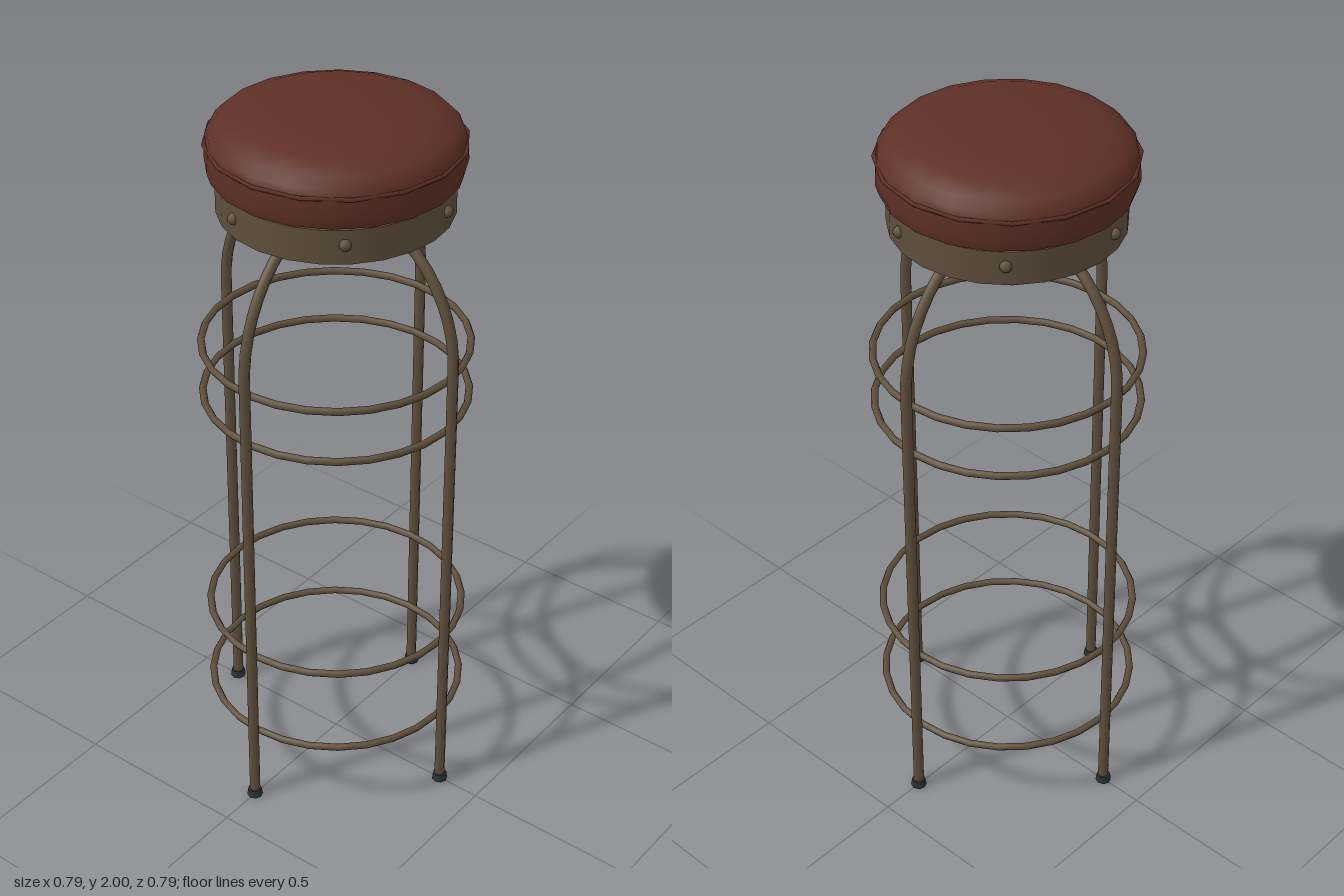
import * as THREE from 'three';

export function createModel() {
  const root = new THREE.Group();
  root.name = 'barStool';

  const mat = (name, color, side = THREE.FrontSide) => {
    const m = new THREE.MeshStandardMaterial({ color, side });
    m.name = name;
    return m;
  };
  const leather = mat('brownLeather', 0x5e3026, THREE.DoubleSide);
  const bronze = mat('agedBronze', 0x5f4f3b, THREE.DoubleSide);
  const steel = mat('blueSteel', 0x3c464e, THREE.DoubleSide);
  const rubber = mat('darkRubber', 0x2b3236);

  const add = (name, geometry, material, parent = root) => {
    const mesh = new THREE.Mesh(geometry, material);
    mesh.name = name;
    parent.add(mesh);
    return mesh;
  };
  const lathe = (points, sides) =>
    new THREE.LatheGeometry(points.map(([r, y]) => new THREE.Vector2(r, y)), sides);

  // Cushion: straight side, thin piping at the seam, domed top
  const cushion = new THREE.Group();
  cushion.name = 'cushion';
  root.add(cushion);
  add('cushionSide', lathe([[0, 1.83], [0.322, 1.83], [0.322, 1.83], [0.331, 1.86], [0.328, 1.91]], 20), leather, cushion);
  add('cushionTop', lathe([
    [0.328, 1.91], [0.322, 1.935], [0.3, 1.958], [0.25, 1.978], [0.18, 1.99], [0.09, 1.998], [0, 2],
  ], 20), leather, cushion);
  const piping = add('piping', new THREE.TorusGeometry(0.329, 0.006, 5, 16), leather, cushion);
  piping.rotation.x = Math.PI / 2;
  piping.position.y = 1.912;

  // Metal band below the cushion, with a darker lining
  add('seatBand', lathe([[0.298, 1.725], [0.305, 1.725], [0.305, 1.725], [0.305, 1.818], [0.305, 1.818], [0.298, 1.818]], 24), bronze);
  add('bandLining', lathe([[0.298, 1.818], [0.298, 1.725]], 24), steel);

  // Rivets around the band
  for (let i = 0; i < 6; i++) {
    const a = THREE.MathUtils.degToRad(12 + 60 * i);
    const rivet = add('rivet', new THREE.SphereGeometry(0.016, 8, 6), bronze);
    rivet.position.set(Math.sin(a) * 0.304, 1.778, Math.cos(a) * 0.304);
  }

  // Swivel plate and open collar under the seat
  const plate = add('mountPlate', new THREE.BoxGeometry(0.24, 0.02, 0.24), steel);
  plate.position.y = 1.795;
  add('collar', lathe([[0.034, 1.785], [0.034, 1.61], [0.034, 1.61], [0.046, 1.61], [0.046, 1.61], [0.046, 1.785]], 12), bronze);

  // Four bent tube legs with rubber feet
  const path = new THREE.CurvePath();
  const v = (x, y) => new THREE.Vector3(x, y, 0);
  path.add(new THREE.LineCurve3(v(0.374, 0.015), v(0.374, 1.38)));
  path.add(new THREE.CubicBezierCurve3(v(0.374, 1.38), v(0.374, 1.58), v(0.24, 1.73), v(0.09, 1.745)));
  path.add(new THREE.LineCurve3(v(0.09, 1.745), v(0.03, 1.745)));
  const legGeometry = new THREE.TubeGeometry(path, 40, 0.0145, 8);
  const footGeometry = new THREE.CylinderGeometry(0.019, 0.022, 0.022, 8);
  for (let i = 0; i < 4; i++) {
    const leg = new THREE.Group();
    leg.name = 'leg';
    leg.rotation.y = i * Math.PI / 2;
    root.add(leg);
    add('legTube', legGeometry, bronze, leg);
    add('foot', footGeometry, rubber, leg).position.set(0.375, 0.011, 0);
  }

  // Two pairs of hoops joining the legs
  const hoopGeometry = new THREE.TorusGeometry(0.354, 0.01, 6, 28);
  for (const y of [0.225, 0.487, 1.182, 1.333]) {
    const hoop = add('hoop', hoopGeometry, bronze);
    hoop.rotation.x = Math.PI / 2;
    hoop.position.y = y;
  }
  return root;
}
